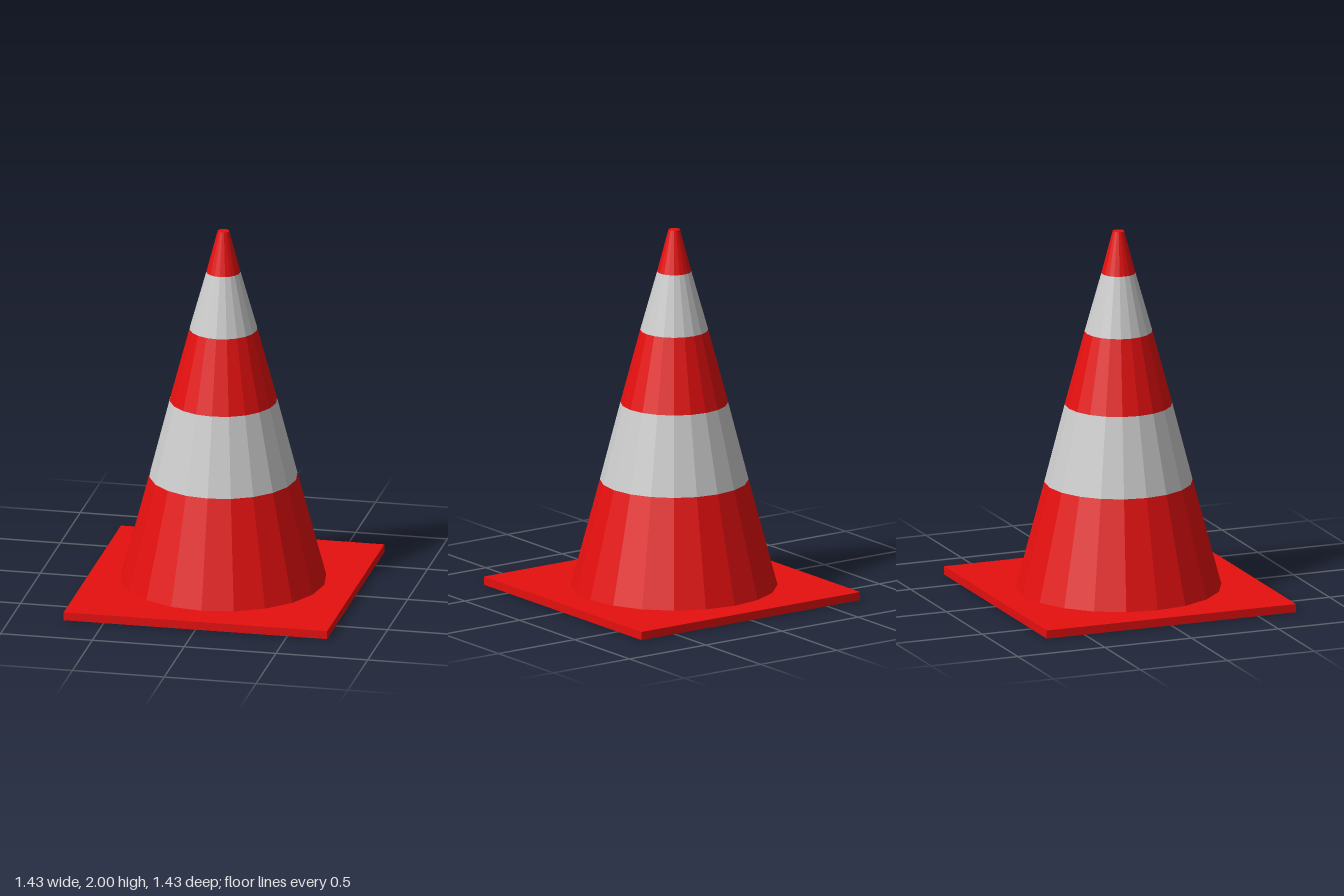
import * as THREE from 'three';

const red = new THREE.MeshStandardMaterial({ color: 0xe60f0f, flatShading: true });
const grey = new THREE.MeshStandardMaterial({ color: 0xcccccc, flatShading: true });

const SIDES = 20;
const BASE_HEIGHT = 0.045;

// Cone rings from bottom to top: [height, radius]
const rings = [
  [BASE_HEIGHT, 0.55],
  [0.625, 0.396],
  [1.05, 0.287],
  [1.45, 0.181],
  [1.77, 0.091],
  [2, 0.031],
];
const bandNames = ['lowerBody', 'lowerStripe', 'middleBody', 'upperStripe', 'tip'];

export function createModel() {
  const model = new THREE.Group();
  model.name = 'trafficCone';

  // Square foot plate
  const base = new THREE.Mesh(new THREE.BoxGeometry(1.435, BASE_HEIGHT, 1.435), red);
  base.name = 'base';
  base.position.y = BASE_HEIGHT / 2;
  model.add(base);

  // Tapered body in alternating bands, set slightly off centre on the plate
  const body = new THREE.Group();
  body.name = 'coneBody';
  body.position.set(-0.006, 0, -0.012);
  bandNames.forEach((name, i) => {
    const [y0, r0] = rings[i];
    const [y1, r1] = rings[i + 1];
    const isTip = i === bandNames.length - 1;
    const geometry = new THREE.CylinderGeometry(r1, r0, y1 - y0, SIDES, 1, !isTip);
    const band = new THREE.Mesh(geometry, i % 2 ? grey : red);
    band.name = name;
    band.position.y = (y0 + y1) / 2;
    body.add(band);
  });
  model.add(body);

  return model;
}
